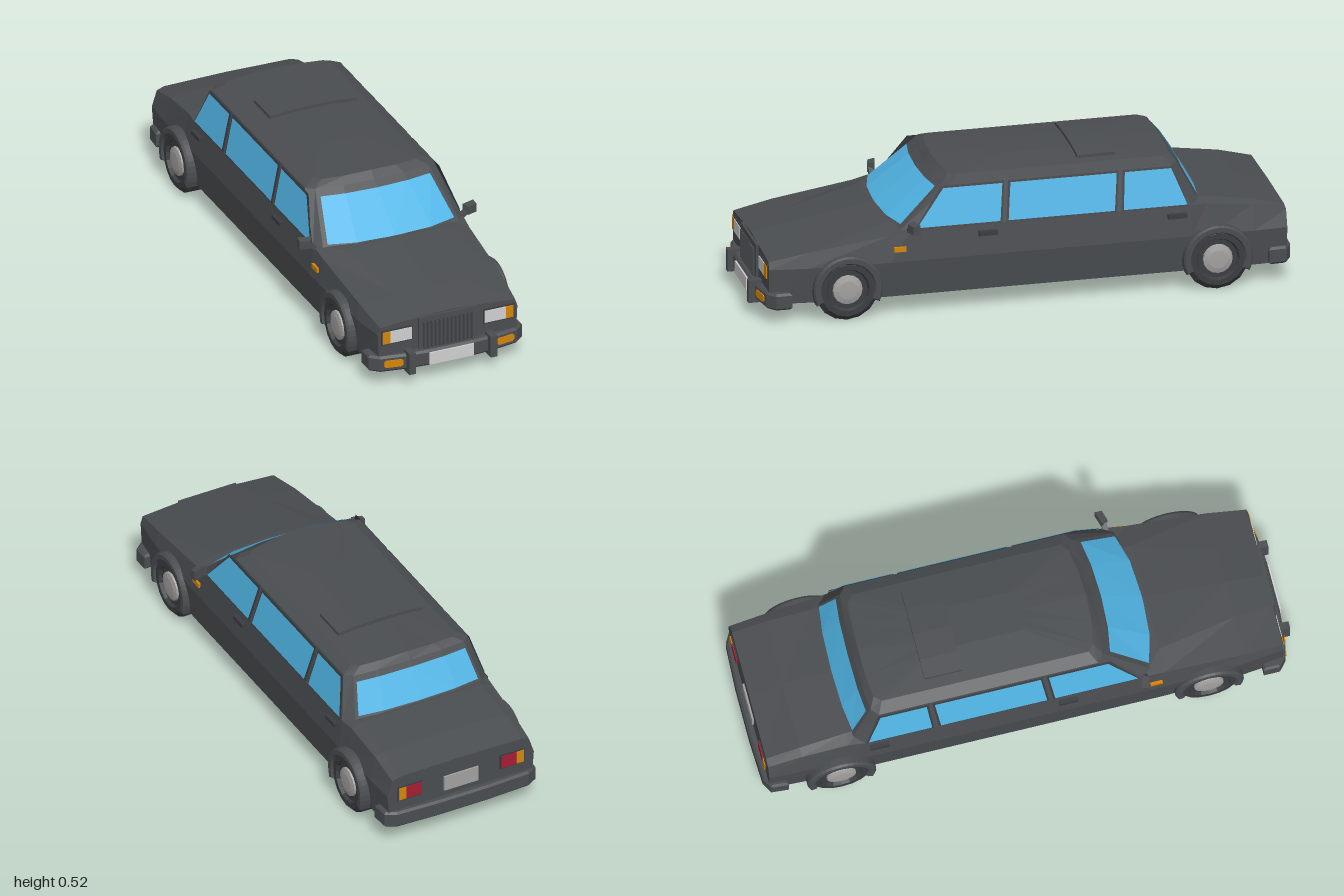
import * as THREE from 'three';

const mat = (name, color, extra = {}) => {
  const m = new THREE.MeshStandardMaterial({ color, ...extra });
  m.name = name;
  return m;
};

// Solid skinned over closed rings of [x, y, z] points, capped at both ends
function loft(rings) {
  const pos = [], n = rings[0].length;
  const tri = (a, b, c) => pos.push(...a, ...b, ...c);
  for (let i = 0; i < rings.length - 1; i++) for (let j = 0; j < n; j++) {
    const k = (j + 1) % n, a = rings[i], b = rings[i + 1];
    tri(a[j], b[j], b[k]);
    tri(a[j], b[k], a[k]);
  }
  const cap = (r, flip) => {
    const c = [0, 1, 2].map(d => r.reduce((s, p) => s + p[d], 0) / n);
    r.forEach((p, j) => flip ? tri(c, r[(j + 1) % n], p) : tri(c, p, r[(j + 1) % n]));
  };
  cap(rings[0], false);
  cap(rings[rings.length - 1], true);
  // Turn all faces outward when the enclosed volume comes out negative
  let vol = 0;
  const v = i => new THREE.Vector3().fromArray(pos, i);
  for (let i = 0; i < pos.length; i += 9) vol += v(i).dot(v(i + 3).cross(v(i + 6)));
  if (vol < 0) for (let i = 0; i < pos.length; i += 9) {
    const t = pos.slice(i + 3, i + 6);
    for (let d = 0; d < 3; d++) { pos[i + 3 + d] = pos[i + 6 + d]; pos[i + 6 + d] = t[d]; }
  }
  const g = new THREE.BufferGeometry();
  g.setAttribute('position', new THREE.Float32BufferAttribute(pos, 3));
  g.computeVertexNormals();
  return g;
}

// Open strip between a lower and an upper row of points
function strip(lo, hi) {
  const pos = [];
  for (let i = 0; i < lo.length - 1; i++)
    pos.push(...lo[i], ...lo[i + 1], ...hi[i + 1], ...lo[i], ...hi[i + 1], ...hi[i]);
  const g = new THREE.BufferGeometry();
  g.setAttribute('position', new THREE.Float32BufferAttribute(pos, 3));
  g.computeVertexNormals();
  return g;
}

const mix = (a, b, t) => a.map((v, i) => v + (b[i] - v) * t);
const mirror = half => [...half, ...half.slice(1, -1).reverse().map(([x, y, z]) => [-x, y, z])];

export function createModel() {
  const car = new THREE.Group();
  car.name = 'limousine';
  const paint = mat('body grey', 0x4a4d50, { flatShading: true });
  const dark = mat('dark trim', 0x3a3d40, { flatShading: true });
  const glass = mat('blue glass', 0x50b4e4, { side: THREE.DoubleSide });
  const white = mat('lamp white', 0xcfd0cf);
  const amber = mat('amber', 0xd4860a);
  const red = mat('tail red', 0xa81c34);
  const silver = mat('hub silver', 0xa3a19f, { flatShading: true });
  const add = (name, geo, m, parent = car) => {
    const mesh = new THREE.Mesh(geo, m);
    mesh.name = name;
    parent.add(mesh);
    return mesh;
  };
  const box = (name, m, w, h, d, x, y, z) => {
    const b = add(name, new THREE.BoxGeometry(w, h, d), m);
    b.position.set(x, y, z);
    return b;
  };

  // Lower body: z, sill, waist, shoulder x/y, crease x/y, centre y
  const stations = [
    [0.945, 0.27, 0.277, 0.268, 0.238, 0.115, 0.25, 0.256],
    [0.80, 0.285, 0.295, 0.28, 0.265, 0.135, 0.277, 0.284],
    [0.50, 0.295, 0.308, 0.29, 0.307, 0.205, 0.327, 0.335],
    [0.42, 0.295, 0.308, 0.295, 0.325, 0.21, 0.33, 0.335],
    [-0.62, 0.295, 0.308, 0.295, 0.325, 0.24, 0.335, 0.34],
    [-0.68, 0.295, 0.308, 0.288, 0.325, 0.245, 0.338, 0.342],
    [-0.85, 0.295, 0.305, 0.283, 0.303, 0.25, 0.315, 0.318],
    [-0.975, 0.29, 0.3, 0.28, 0.273, 0.25, 0.283, 0.287],
  ];
  add('lowerBody', loft(stations.map(([z, a, b, sx, sy, cx, cy, top]) => mirror(
    [[0, 0.075, z], [a, 0.075, z], [b, 0.21, z], [sx, sy, z], [cx, cy, z], [0, top, z]]))), paint);

  // Cabin: rings run from front centre round the side to rear centre
  const base = [[0, 0.5], [0.15, 0.49], [0.27, 0.455], [0.295, 0.42], [0.295, -0.62], [0.262, -0.66], [0.15, -0.675], [0, -0.68]]
    .map(([x, z]) => [x, 0.32, z]);
  const eave = [[0, 0.305], [0.12, 0.3], [0.225, 0.285], [0.255, 0.26], [0.255, -0.555], [0.228, -0.58], [0.13, -0.588], [0, -0.59]]
    .map(([x, z]) => [x, 0.475, z]);
  const roof = eave.map(([x, , z]) => [x * 0.83, 0.502 - x * 0.03, z > 0 ? z - 0.025 : z + 0.02]);
  const crown = eave.map(([x, , z]) => [x * 0.3, 0.507, z * 0.4 - 0.08]);
  add('cabin', loft([base, eave, roof, crown].map(mirror)), paint);

  // Windscreen and rear window follow the cabin skin
  const screen = (name, ids, t0, t1, edge, dz) => {
    const row = t => {
      const p = ids.map(i => mix(base[i], eave[i], t));
      p[2] = mix(p[1], p[2], edge);
      const q = p.map(([x, y, z]) => [x, y + 0.002, z + dz]);
      return [...q.slice(1).reverse().map(([x, y, z]) => [-x, y, z]), ...q];
    };
    add(name, strip(row(t0), row(t1)), glass);
  };
  screen('windscreen', [0, 1, 2], 0.08, 0.87, 0.87, 0.005);
  screen('rearWindow', [7, 6, 5], 0.17, 0.87, 0.9, -0.005);

  // Side windows: bottom and top z limits, each on a slightly larger dark frame
  const sidePane = (name, s, [b0, b1, t0, t1], y0, y1, off, m) => {
    const p = (y, z) => [s * (0.295 - 0.04 * (y - 0.32) / 0.155 + off), y, z];
    add(name, strip([p(y0, b0), p(y0, b1)], [p(y1, t0), p(y1, t1)]), m);
  };
  const frameMat = mat('window frame', 0x3a3d40, { side: THREE.DoubleSide });
  for (const s of [-1, 1]) {
    for (const w of [[0.40, 0.09, 0.295, 0.075], [0.06, -0.335, 0.045, -0.35], [-0.368, -0.605, -0.38, -0.552]]) {
      const f = w.map((z, i) => z + (i % 2 ? -0.008 : 0.008));
      sidePane('windowFrame', s, f, 0.324, 0.471, 0.003, frameMat);
      sidePane('sideWindow', s, w, 0.331, 0.464, 0.006, glass);
    }
  }

  // Sunroof panel with a gently bowed top
  const hatch = new THREE.Shape();
  hatch.moveTo(-0.172, 0.49);
  [[0.172, 0.49], [0.172, 0.51], [0.1, 0.517], [0, 0.52], [-0.1, 0.517], [-0.172, 0.51]].forEach(p => hatch.lineTo(...p));
  add('sunroof', new THREE.ExtrudeGeometry(hatch, { depth: 0.14, bevelEnabled: false }), paint).position.z = -0.365;

  // Bumpers: plan outlines pulled upward with a small bevel
  const bumper = (name, half, y, h) => {
    const pts = [...half, ...half.slice().reverse().map(([x, z]) => [-x, z])];
    const shape = new THREE.Shape(pts.map(([x, z]) => new THREE.Vector2(x, -z)));
    const g = new THREE.ExtrudeGeometry(shape, { depth: h - 0.016, bevelSize: 0.008, bevelThickness: 0.008, bevelOffset: -0.008, bevelSegments: 1 });
    g.rotateX(-Math.PI / 2);
    add(name, g, paint).position.y = y + 0.008;
  };
  bumper('frontBumper', [[0.09, 0.978], [0.17, 0.972], [0.27, 0.955], [0.305, 0.925], [0.305, 0.865]], 0.06, 0.063);
  bumper('rearBumper', [[0.1, -1], [0.27, -0.993], [0.31, -0.97], [0.315, -0.905]], 0.075, 0.065);

  // Grille with upright bars
  box('grilleSurround', paint, 0.236, 0.135, 0.02, 0, 0.182, 0.945);
  box('grilleBack', dark, 0.2, 0.11, 0.004, 0, 0.175, 0.956);
  for (let i = 0; i < 13; i++) box('grilleBar', paint, 0.008, 0.11, 0.008, -0.096 + i * 0.016, 0.175, 0.958);

  // Number plates
  box('frontPlate', white, 0.176, 0.048, 0.008, 0, 0.091, 0.98);
  box('rearPlate', silver, 0.14, 0.06, 0.008, 0, 0.195, -0.978);

  // Wheel lathe profiles: radius, distance outward
  const lathe = (pts, seg) => new THREE.LatheGeometry(pts.map(p => new THREE.Vector2(...p)), seg).rotateZ(-Math.PI / 2);
  const wheel = (s, z, out) => {
    const g = new THREE.Group();
    g.name = 'wheel';
    g.position.set(0, 0.12, z);
    if (s < 0) g.rotation.y = Math.PI;
    add('tyre', lathe([[0, 0.205], [0.1, 0.205], [0.119, 0.222], [0.119, out - 0.018], [0.1, out], [0.08, out], [0.074, out - 0.012], [0, out - 0.012]], 16), dark, g);
    add('hubcap', lathe([[0.056, out - 0.013], [0.054, out - 0.004], [0.035, out + 0.001], [0, out + 0.002]], 16), silver, g);
    car.add(g);
    // Arch flare around the wheel
    const a = 0.38, arch = new THREE.Shape();
    arch.absarc(0, 0, 0.122, -a, Math.PI + a, false);
    arch.absarc(0, 0, 0.104, Math.PI + a, -a, true);
    const f = new THREE.ExtrudeGeometry(arch, { depth: out - 0.25, curveSegments: 12, bevelSize: 0.006, bevelThickness: 0.008, bevelSegments: 1 });
    f.rotateY(s * Math.PI / 2);
    add('wheelArch', f, paint).position.set(s * 0.25, 0.122, z);
  };

  for (const s of [-1, 1]) {
    wheel(s, 0.66, 0.315);
    wheel(s, -0.712, 0.328);

    // Front lamps
    box('headlampFrame', dark, 0.124, 0.058, 0.008, s * 0.2025, 0.195, 0.945);
    box('headlamp', white, 0.084, 0.048, 0.008, s * 0.187, 0.195, 0.948);
    box('frontIndicator', amber, 0.03, 0.048, 0.008, s * 0.244, 0.195, 0.948);
    const fog = new THREE.Shape([[-0.036, -0.008], [-0.029, -0.014], [0.029, -0.014], [0.036, -0.008],
      [0.036, 0.008], [0.029, 0.014], [-0.029, 0.014], [-0.036, 0.008]].map(p => new THREE.Vector2(...p)));
    const lamp = add('bumperLamp', new THREE.ExtrudeGeometry(fog, { depth: 0.008, bevelEnabled: false }), amber);
    lamp.position.set(s * 0.221, 0.093, 0.959);
    lamp.rotation.y = s * 0.17;
    box('bumperGuard', paint, 0.026, 0.085, 0.05, s * 0.161, 0.092, 0.971);

    // Tail lamps
    box('tailLampFrame', dark, 0.1, 0.06, 0.006, s * 0.21, 0.21, -0.976);
    box('tailLamp', red, 0.062, 0.05, 0.009, s * 0.194, 0.21, -0.978);
    box('rearIndicator', amber, 0.03, 0.05, 0.009, s * 0.241, 0.21, -0.978);

    // Side marker, door handles and mirror
    box('sideMarker', amber, 0.009, 0.018, 0.045, s * 0.306, 0.258, 0.465);
    for (const z of [0.138, -0.565]) box('doorHandle', dark, 0.02, 0.016, 0.07, s * 0.305, 0.293, z);
    box('mirrorStalk', paint, 0.05, 0.016, 0.02, s * 0.293, 0.322, 0.425).rotation.z = s * 0.65;
    const m = add('mirror', new THREE.CylinderGeometry(0.026, 0.034, 0.026, 4, 1).rotateY(Math.PI / 4).rotateX(Math.PI / 2), paint);
    m.scale.set(1.08, 0.87, 1);
    m.position.set(s * 0.328, 0.34, 0.42);
    m.rotation.y = s * 0.3;
  }
  return car;
}
